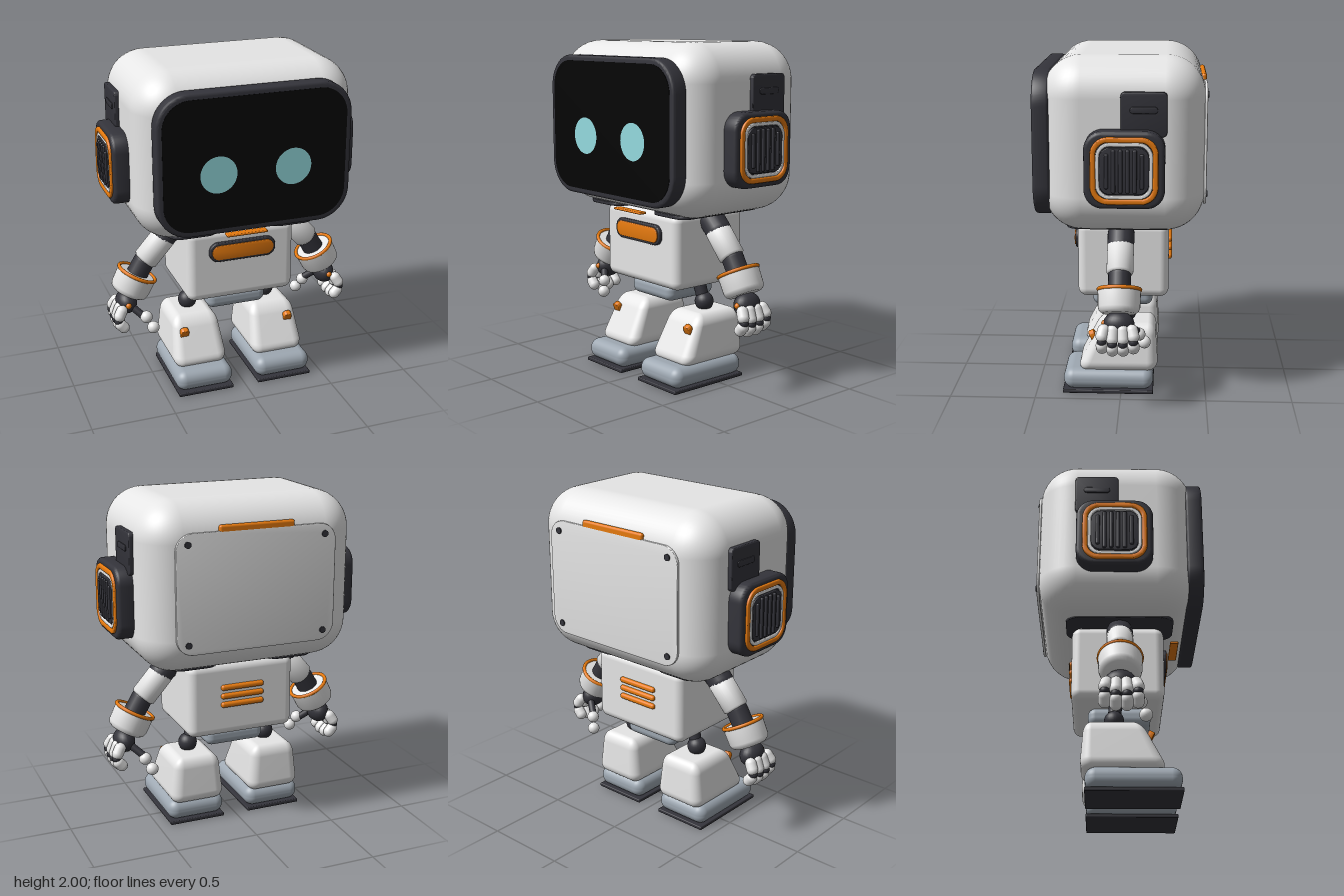
import * as THREE from 'three';
import { mergeVertices, toCreasedNormals } from 'three/addons/utils/BufferGeometryUtils.js';
import { RoundedBoxGeometry } from 'three/addons/geometries/RoundedBoxGeometry.js';

const material = (name, color) => {
  const m = new THREE.MeshStandardMaterial({ color });
  m.name = name;
  return m;
};
const white = material('shell white', 0xe6e6e6);
const dark = material('charcoal', 0x34343b);
const orange = material('orange', 0xe67a0e);
const grey = material('blue grey', 0x9ea8b2);
const black = material('screen black', 0x050505);
const cyan = material('eye cyan', 0x94dbdf);

function add(parent, name, geometry, mat, x = 0, y = 0, z = 0, ry = 0) {
  const mesh = new THREE.Mesh(geometry, mat);
  mesh.name = name;
  mesh.position.set(x, y, z);
  mesh.rotation.y = ry;
  parent.add(mesh);
  return mesh;
}

// Rounded rectangle outline, centred on the origin
function outline(w, h, r, Type = THREE.Shape) {
  const p = new Type(), x = w / 2, y = h / 2;
  p.moveTo(x, y - r);
  p.absarc(x - r, y - r, r, 0, Math.PI / 2);
  p.absarc(r - x, y - r, r, Math.PI / 2, Math.PI);
  p.absarc(r - x, r - y, r, Math.PI, Math.PI * 1.5);
  p.absarc(x - r, r - y, r, Math.PI * 1.5, Math.PI * 2);
  return p;
}

// Plate or frame lying in xy, from z = 0 to z = d; rim > 0 cuts a hole
function plate(w, h, r, d, bevel = 0, rim = 0) {
  const shape = outline(w, h, r);
  if (rim) shape.holes.push(outline(w - 2 * rim, h - 2 * rim, Math.max(r - rim, 0.01), THREE.Path));
  const g = new THREE.ExtrudeGeometry(shape, {
    depth: d - 2 * bevel, curveSegments: 10, bevelEnabled: bevel > 0,
    bevelThickness: bevel, bevelSize: bevel, bevelOffset: -bevel, bevelSegments: 3,
  });
  g.translate(0, 0, bevel);
  return toCreasedNormals(g, 0.7);
}

const box = (w, h, d, r) => new RoundedBoxGeometry(w, h, d, 6, r);
const ball = (r) => new THREE.SphereGeometry(r, 24, 16);

// Turns a mesh so its y axis runs from a to b, centred between them
function span(mesh, a, b) {
  const va = new THREE.Vector3(...a), vb = new THREE.Vector3(...b);
  mesh.position.copy(va).add(vb).multiplyScalar(0.5);
  mesh.quaternion.setFromUnitVectors(new THREE.Vector3(0, 1, 0), vb.sub(va).normalize());
  return mesh;
}
const length = (a, b) => Math.hypot(a[0] - b[0], a[1] - b[1], a[2] - b[2]);
const capsule = (parent, name, a, b, r, mat) =>
  span(add(parent, name, new THREE.CapsuleGeometry(r, length(a, b), 8, 20), mat), a, b);

function makeGroup(parent, name) {
  const g = new THREE.Group();
  g.name = name;
  parent.add(g);
  return g;
}

function buildHead(root) {
  const head = makeGroup(root, 'head');
  add(head, 'headShell', box(1.29, 0.98, 0.9, 0.22), white, 0, 1.51, -0.02);
  add(head, 'faceFrame', plate(1.14, 0.82, 0.19, 0.096, 0.016), dark, 0, 1.507, 0.384);
  add(head, 'screen', plate(1.075, 0.755, 0.16, 0.006), black, 0, 1.507, 0.476);
  for (const s of [-1, 1])
    add(head, 'eye', new THREE.CircleGeometry(0.107, 40), cyan, s * 0.22, 1.45, 0.484);

  // Back hatch with handle and screws
  add(head, 'backPanel', plate(0.96, 0.68, 0.1, 0.016, 0.003), white, 0, 1.5, -0.464, Math.PI);
  add(head, 'backHandle', box(0.45, 0.05, 0.03, 0.014), orange, 0, 1.848, -0.465);
  for (const x of [-0.41, 0.41]) for (const y of [1.22, 1.78]) {
    const screw = add(head, 'screw', new THREE.CylinderGeometry(0.019, 0.019, 0.012, 16), dark, x, y, -0.481);
    screw.rotation.x = Math.PI / 2;
  }

  // Trim under the head
  add(head, 'chinTrim', box(0.25, 0.014, 0.05, 0.006), orange, 0, 1.017, 0.33);
  for (const s of [-1, 1]) {
    const pad = add(head, 'neckPad', plate(0.3, 0.62, 0.08, 0.02, 0.004), dark, s * 0.3, 1.015, 0);
    pad.rotation.x = -Math.PI / 2;
  }
}

function buildEar(root, s) {
  const ear = makeGroup(root, s > 0 ? 'leftEar' : 'rightEar');
  const turn = s * Math.PI / 2, y = 1.415, z = -0.033;
  add(ear, 'earBlock', plate(0.435, 0.42, 0.1, 0.12, 0.02), dark, s * 0.615, y, z, turn);
  add(ear, 'earOrangeRing', plate(0.365, 0.365, 0.095, 0.022, 0.008, 0.03), orange, s * 0.726, y, z, turn);
  add(ear, 'earWhiteRing', plate(0.305, 0.305, 0.075, 0.018, 0.004, 0.02), white, s * 0.726, y, z, turn);
  add(ear, 'earVent', plate(0.268, 0.255, 0.06, 0.02, 0.004), dark, s * 0.726, y, z, turn);
  for (let i = 0; i < 6; i++) {
    const height = i === 0 || i === 5 ? 0.19 : 0.235;
    add(ear, 'ventRib', box(0.022, height, 0.022, 0.008), dark, s * 0.747, y, z + (i - 2.5) * 0.038);
  }
  add(ear, 'sideModule', plate(0.25, 0.24, 0.025, 0.045, 0.006), dark, s * 0.623, 1.705, -0.135, turn);
  add(ear, 'moduleSlot', plate(0.15, 0.036, 0.017, 0.012, 0.004), dark, s * 0.662, 1.73, -0.135, turn);
}

function buildBody(root) {
  const body = makeGroup(root, 'body');
  add(body, 'torso', box(0.665, 0.45, 0.53, 0.05), white, 0, 0.795, -0.01);
  add(body, 'chestFrame', plate(0.41, 0.12, 0.055, 0.03, 0.006), dark, 0, 0.885, 0.247);
  add(body, 'chestBadge', plate(0.38, 0.09, 0.043, 0.014, 0.004), orange, 0, 0.885, 0.27);
  for (let i = 0; i < 3; i++)
    add(body, 'backVent', box(0.27, 0.034, 0.035, 0.015), orange, 0, 0.765 + i * 0.053, -0.277);
  add(body, 'pelvis', box(0.37, 0.11, 0.36, 0.045), grey, 0, 0.522, 0);
}

function buildArm(root, s) {
  const arm = makeGroup(root, s > 0 ? 'leftArm' : 'rightArm');
  const P = (x, y, z = 0) => [s * x, y, z];
  capsule(arm, 'shoulder', P(0.36, 0.965), P(0.405, 0.92), 0.077, dark);
  const a = P(0.402, 0.92), b = P(0.525, 0.78);
  const sleeve = [[0, -0.1], [0.063, -0.1], [0.076, -0.086], [0.076, 0.086], [0.063, 0.1], [0, 0.1]];
  const lathe = (pts) => toCreasedNormals(
    new THREE.LatheGeometry(pts.map(([x, y]) => new THREE.Vector2(x, y)), 36), 0.9);
  span(add(arm, 'upperArm', lathe(sleeve), white), a, b);
  capsule(arm, 'elbow', P(0.53, 0.775), P(0.58, 0.69), 0.065, dark);

  // Cuff, with its wide rim at the top
  const top = P(0.576, 0.702), end = P(0.637, 0.582);
  const cuff = [[0, -0.067], [0.122, -0.067], [0.119, 0.035], [0.112, 0.055], [0.094, 0.068], [0, 0.068]];
  span(add(arm, 'cuff', lathe(cuff), white), top, end);
  const ring = new THREE.TorusGeometry(0.118, 0.011, 10, 40).rotateX(Math.PI / 2);
  span(add(arm, 'cuffRing', ring, orange), top, end).position.set(...top);

  // Hand: palm and four curled fingers of rounded beads
  const palm = add(arm, 'palm', ball(0.08), dark, s * 0.65, 0.525, 0);
  palm.scale.set(0.8, 0.9, 1.1);
  add(arm, 'palmStud', ball(0.018), orange, s * 0.655, 0.53, 0.08);
  [0.092, 0.034, -0.026, -0.084].forEach((z, i) => {
    const drop = i === 1 || i === 2 ? 0.015 : 0;
    capsule(arm, 'fingerBase', P(0.698, 0.505, z * 0.9), P(0.716, 0.475 - drop, z), 0.034, white);
    add(arm, 'fingerJoint', ball(0.027), dark, ...P(0.722, 0.447 - drop, z));
    capsule(arm, 'fingerTip', P(0.712, 0.42 - drop, z), P(0.692, 0.398 - drop, z), 0.034, white);
  });

  // Both hands are the same piece turned round, so the thumbs point opposite ways in z
  const tz = -s, drop = s * 0.012;
  capsule(arm, 'thumbLink', P(0.62, 0.5, tz * 0.06), P(0.565, 0.45, tz * 0.1), 0.022, dark);
  add(arm, 'thumbBase', ball(0.037), white, ...P(0.555, 0.442 - drop, tz * 0.11));
  add(arm, 'thumbTip', ball(0.037), white, ...P(0.522, 0.382 - drop, tz * 0.14));
}

// Shin shell: rounded box narrowed to the top, with a sloping front
function shinGeometry() {
  const g = box(0.345, 0.29, 0.47, 0.065);
  g.deleteAttribute('uv');
  g.deleteAttribute('normal');
  const p = g.attributes.position;
  for (let i = 0; i < p.count; i++) {
    const t = (p.getY(i) + 0.145) / 0.29, u = (p.getZ(i) + 0.235) / 0.47;
    const back = -0.22 + 0.02 * t, front = 0.27 - 0.15 * t;
    p.setXYZ(i, p.getX(i) * (1 - 0.2 * t), p.getY(i), back + (front - back) * u);
  }
  const merged = mergeVertices(g, 1e-4);
  merged.computeVertexNormals();
  return merged;
}

function buildLeg(root, s) {
  const leg = makeGroup(root, s > 0 ? 'leftLeg' : 'rightLeg');
  capsule(leg, 'thigh', [s * 0.215, 0.59, -0.02], [s * 0.25, 0.46, -0.03], 0.038, dark);
  add(leg, 'knee', ball(0.057), dark, s * 0.255, 0.46, -0.03);
  add(leg, 'shin', shinGeometry(), white, s * 0.25, 0.275, 0);
  const tag = add(leg, 'shinTag', plate(0.052, 0.072, 0.022, 0.035, 0.005), orange, s * 0.336, 0.34, 0.15);
  tag.rotation.x = 0.45;
  add(leg, 'shoe', box(0.355, 0.125, 0.53, 0.058), grey, s * 0.2525, 0.082, 0.075);
  add(leg, 'sole', box(0.345, 0.022, 0.535, 0.006), dark, s * 0.2525, 0.011, 0.077);
}

export function createModel() {
  const root = new THREE.Group();
  root.name = 'robot';
  buildHead(root);
  buildBody(root);
  for (const s of [1, -1]) {
    buildEar(root, s);
    buildArm(root, s);
    buildLeg(root, s);
  }
  return root;
}
